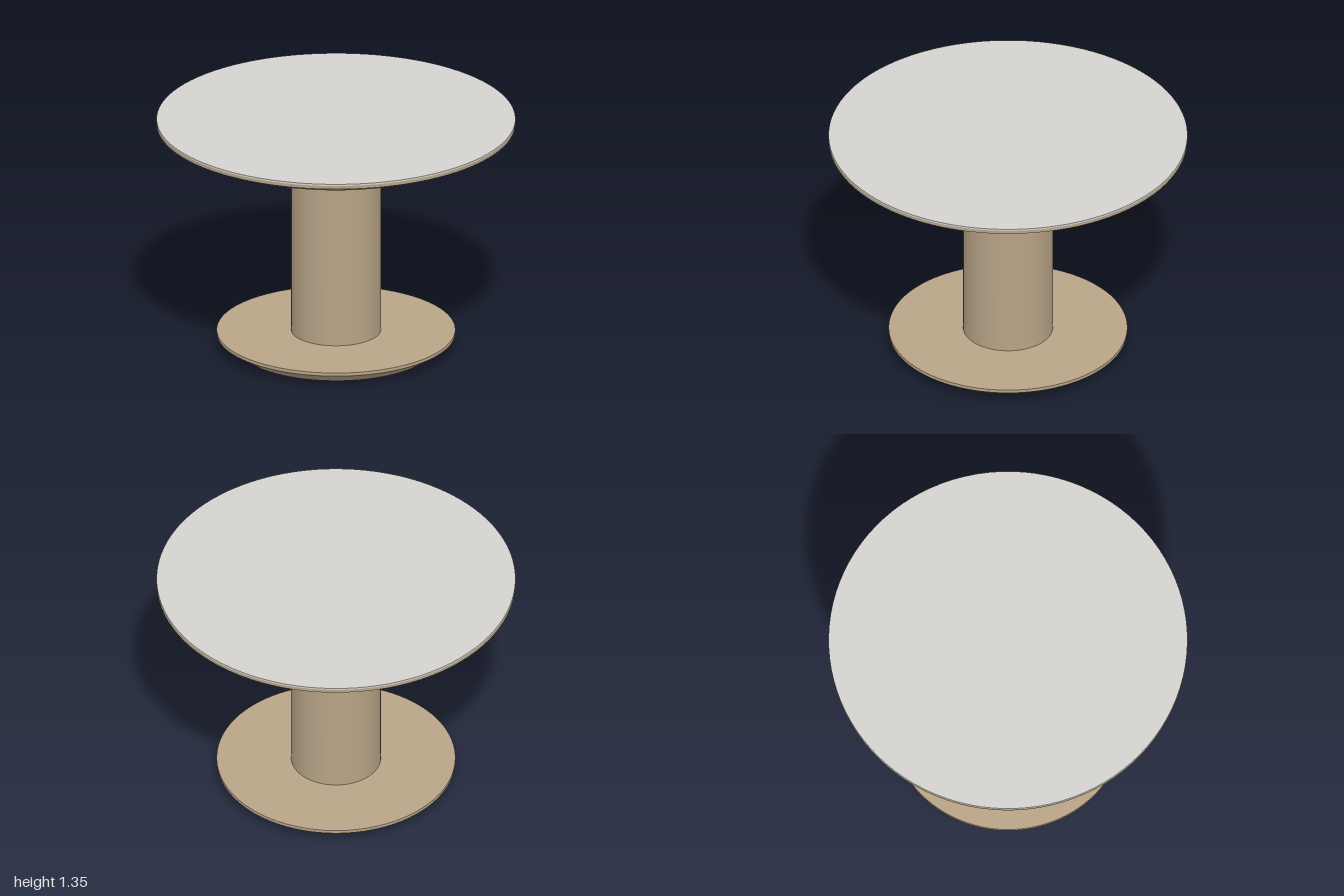
import * as THREE from 'three';
import { toCreasedNormals } from 'three/addons/utils/BufferGeometryUtils.js';

const SEGMENTS = 96;

// Closed turned solid from [radius, height] pairs, listed bottom to top
function turned(name, material, profile) {
  const closed = [[0, profile[0][1]], ...profile, [0, profile[profile.length - 1][1]]];
  const points = closed.map(([r, y]) => new THREE.Vector2(r, y));
  const geometry = toCreasedNormals(new THREE.LatheGeometry(points, SEGMENTS), 0.4);
  const mesh = new THREE.Mesh(geometry, material);
  mesh.name = name;
  return mesh;
}

export function createModel() {
  const wood = new THREE.MeshStandardMaterial({ color: 0xb8a487 });
  wood.name = 'wood';
  const surface = new THREE.MeshStandardMaterial({ color: 0xd4d3cf });
  surface.name = 'pale grey surface';

  const table = new THREE.Group();
  table.name = 'roundPedestalTable';
  table.add(
    // Foot with a chamfered underside
    turned('base', wood, [[0.565, 0], [0.665, 0.067], [0.665, 0.086]]),
    // Central pillar
    turned('column', wood, [[0.25, 0.086], [0.25, 1.195]]),
    // Disc that carries the top
    turned('supportDisc', wood, [[0.665, 1.195], [0.665, 1.256]]),
    // Top with a wide bevel below its rim
    turned('tableTop', wood, [[0.86, 1.256], [1, 1.318], [1, 1.337]]),
    // Thin pale sheet on the top
    turned('topSurface', surface, [[1, 1.337], [1, 1.347]]),
  );
  return table;
}
